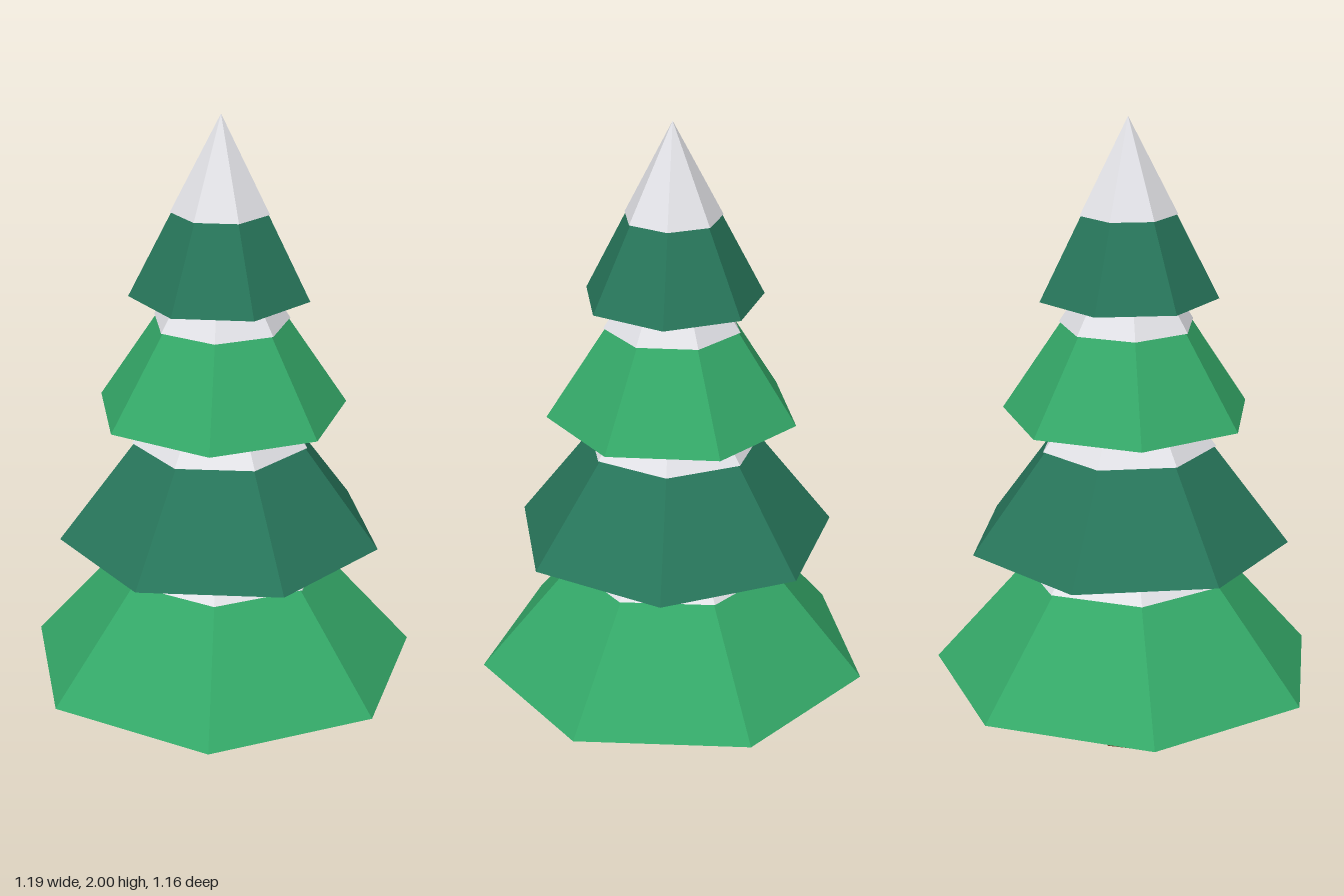
import * as THREE from 'three';

const material = (name, color) => {
  const m = new THREE.MeshStandardMaterial({ color, flatShading: true });
  m.name = name;
  return m;
};

export function createModel() {
  const tree = new THREE.Group();
  tree.name = 'snowyPineTree';

  const bark = material('bark brown', 0x6b4226);
  const light = material('light green', 0x34a868);
  const dark = material('dark green', 0x27755a);
  const snow = material('snow white', 0xf0f0f5);

  const axisZ = 0.029; // the trunk axis sits slightly forward of the centre

  const add = (name, geometry, mat, bottom, height, turn = 0) => {
    const mesh = new THREE.Mesh(geometry, mat);
    mesh.name = name;
    mesh.position.set(0, bottom + height / 2, axisZ);
    mesh.rotation.y = turn;
    tree.add(mesh);
  };

  // Tapered six-sided trunk, running up into the lowest tier
  add('trunk', new THREE.CylinderGeometry(0.07, 0.09, 0.31, 6), bark, 0, 0.31);

  // Tiers, lowest first: base height, radius, cone height, snow line, snow radius, snow tip
  const tiers = [
    [0.26, 0.609, 0.71, 0.595, 0.331, 0.985],
    [0.695, 0.497, 0.65, 1.0, 0.271, 1.36],
    [1.1, 0.385, 0.585, 1.377, 0.209, 1.7],
    [1.465, 0.274, 0.53, 1.715, 0.149, 2.0],
  ];
  tiers.forEach(([base, radius, height, line, snowRadius, tip], i) => {
    // Every other tier is turned half a facet, with a slight drift
    const turn = Math.PI * (i + 1) - 0.013 * i;
    add(`foliageTier${i + 1}`, new THREE.ConeGeometry(radius, height, 7), i % 2 ? dark : light, base, height, turn);
    // Snow cap sits just outside the foliage
    add(`snowCap${i + 1}`, new THREE.ConeGeometry(snowRadius, tip - line, 7), snow, line, tip - line, turn);
  });

  return tree;
}
